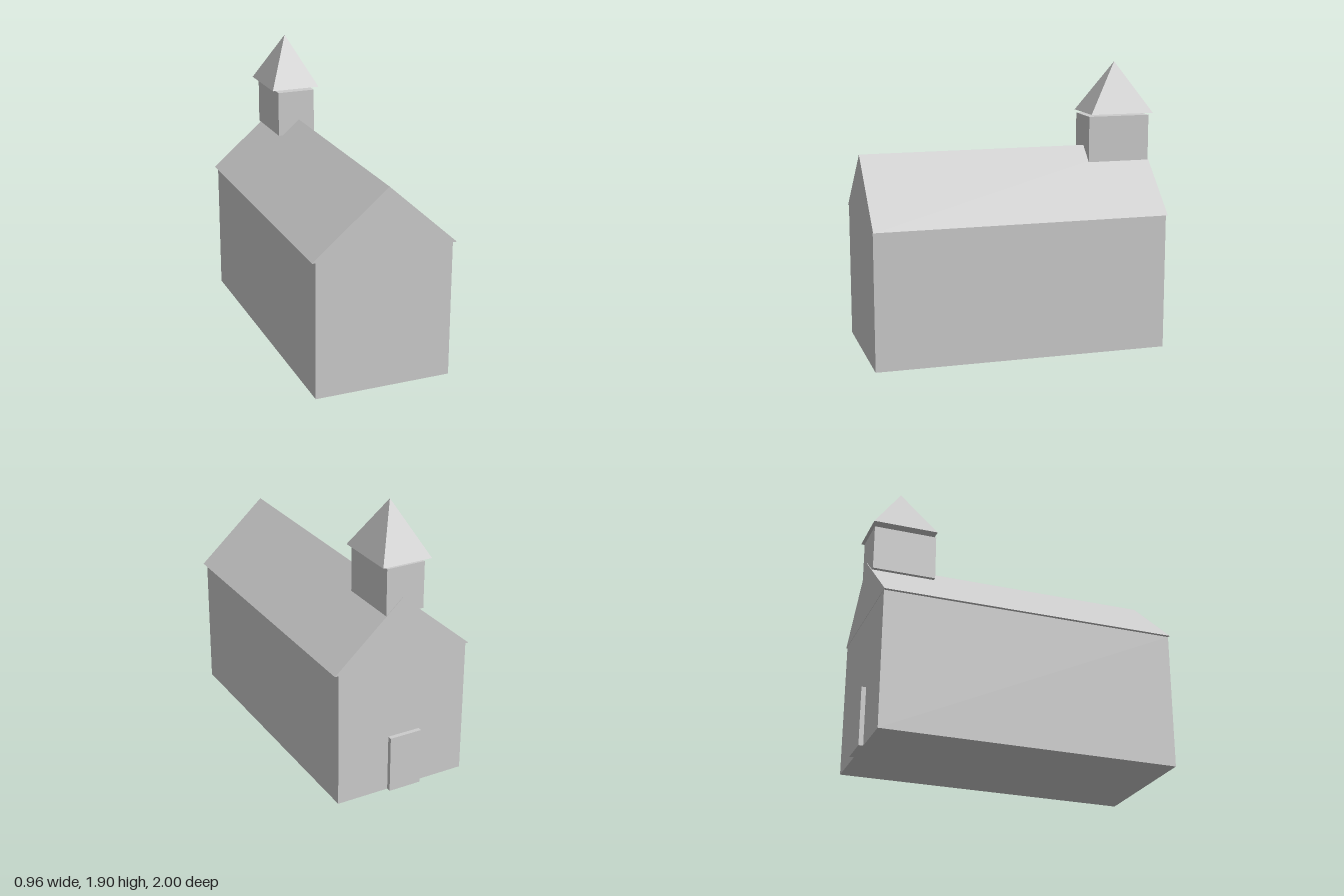
import * as THREE from 'three';

const material = new THREE.MeshStandardMaterial({ color: 0xcccccc, flatShading: true });

export function createModel() {
  const model = new THREE.Group();
  model.name = 'chapel';

  const add = (name, geometry) => {
    const mesh = new THREE.Mesh(geometry, material);
    mesh.name = name;
    model.add(mesh);
    return mesh;
  };

  // Box given by its lower and upper limits on each axis
  const box = (name, [x0, x1], [y0, y1], [z0, z1]) =>
    add(name, new THREE.BoxGeometry(x1 - x0, y1 - y0, z1 - z0))
      .position.set((x0 + x1) / 2, (y0 + y1) / 2, (z0 + z1) / 2);

  // Nave walls and the door slab on the rear gable
  box('walls', [-0.46, 0.455], [0, 0.912], [-0.97, 0.998]);
  box('door', [-0.13, 0.095], [0, 0.387], [-1, -0.96]);

  // Gabled roof with a slight overhang at the eaves
  const gable = new THREE.Shape([
    new THREE.Vector2(-0.482, 0.912),
    new THREE.Vector2(0.482, 0.912),
    new THREE.Vector2(0.015, 1.335),
  ]);
  const roof = new THREE.ExtrudeGeometry(gable, { depth: 1.972, bevelEnabled: false });
  add('roof', roof).position.z = -0.972;

  // Bell tower straddling the ridge
  box('tower', [-0.135, 0.128], [1.23, 1.54], [-0.967, -0.541]);

  // Four-sided spire floating just above the tower
  const spire = new THREE.ConeGeometry(Math.SQRT1_2, 1, 4).rotateY(Math.PI / 4);
  spire.scale(0.34, 0.34, 0.44);
  add('spire', spire).position.set(-0.005, 1.727, -0.763);

  return model;
}
